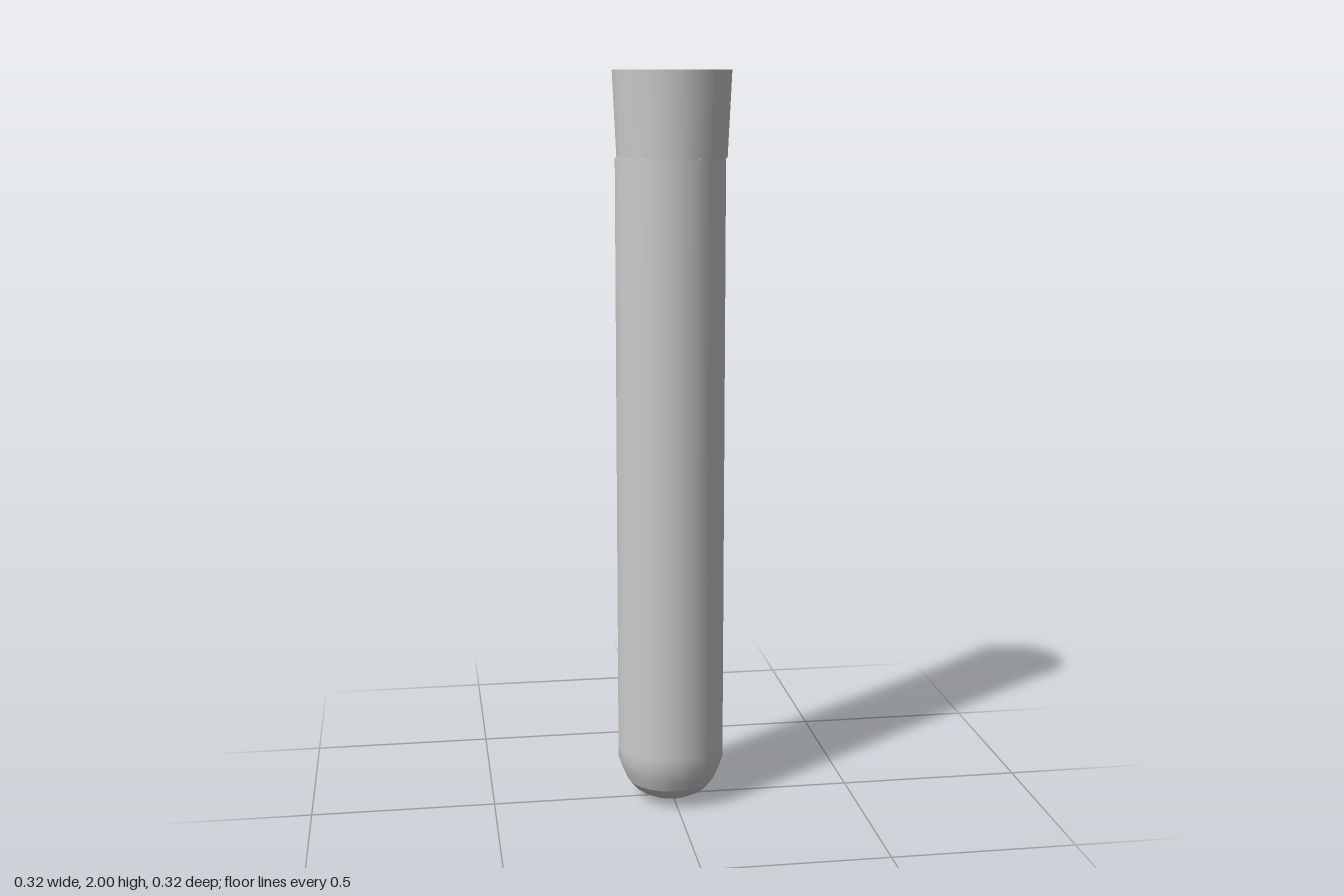
import * as THREE from 'three';

const SIDES = 20;

export function createModel() {
  const group = new THREE.Group();
  const material = new THREE.MeshStandardMaterial({ color: 0xcccccc });

  const add = (parent, name, geometry, y = 0) => {
    const mesh = new THREE.Mesh(geometry, material);
    mesh.name = name;
    mesh.position.y = y;
    parent.add(mesh);
  };
  const lathe = (points) =>
    new THREE.LatheGeometry(points.map(([r, y]) => new THREE.Vector2(r, y)), SIDES);

  // Tube, sitting slightly off the stopper's axis
  const tube = new THREE.Group();
  tube.name = 'tube';
  tube.position.set(-0.005, 0, 0.005);
  group.add(tube);

  // Rounded bottom: separate bands keep the creases between them
  add(tube, 'bottomTip', lathe([[0, 0], [0.04, 0.004], [0.07, 0.016]]));
  add(tube, 'bottomRing', lathe([[0.07, 0.016], [0.1, 0.033], [0.121, 0.058]]));
  add(tube, 'tubeWall', lathe([[0.121, 0.058], [0.134, 0.088], [0.147, 0.125], [0.147, 0.16], [0.147, 1.775]]));

  // Flat rim closing the tube under the stopper
  add(tube, 'tubeRim', new THREE.CircleGeometry(0.147, SIDES).rotateX(-Math.PI / 2), 1.775);

  // Tapered stopper
  add(group, 'stopper', new THREE.CylinderGeometry(0.158, 0.147, 0.225, SIDES), 1.8875);

  return group;
}
